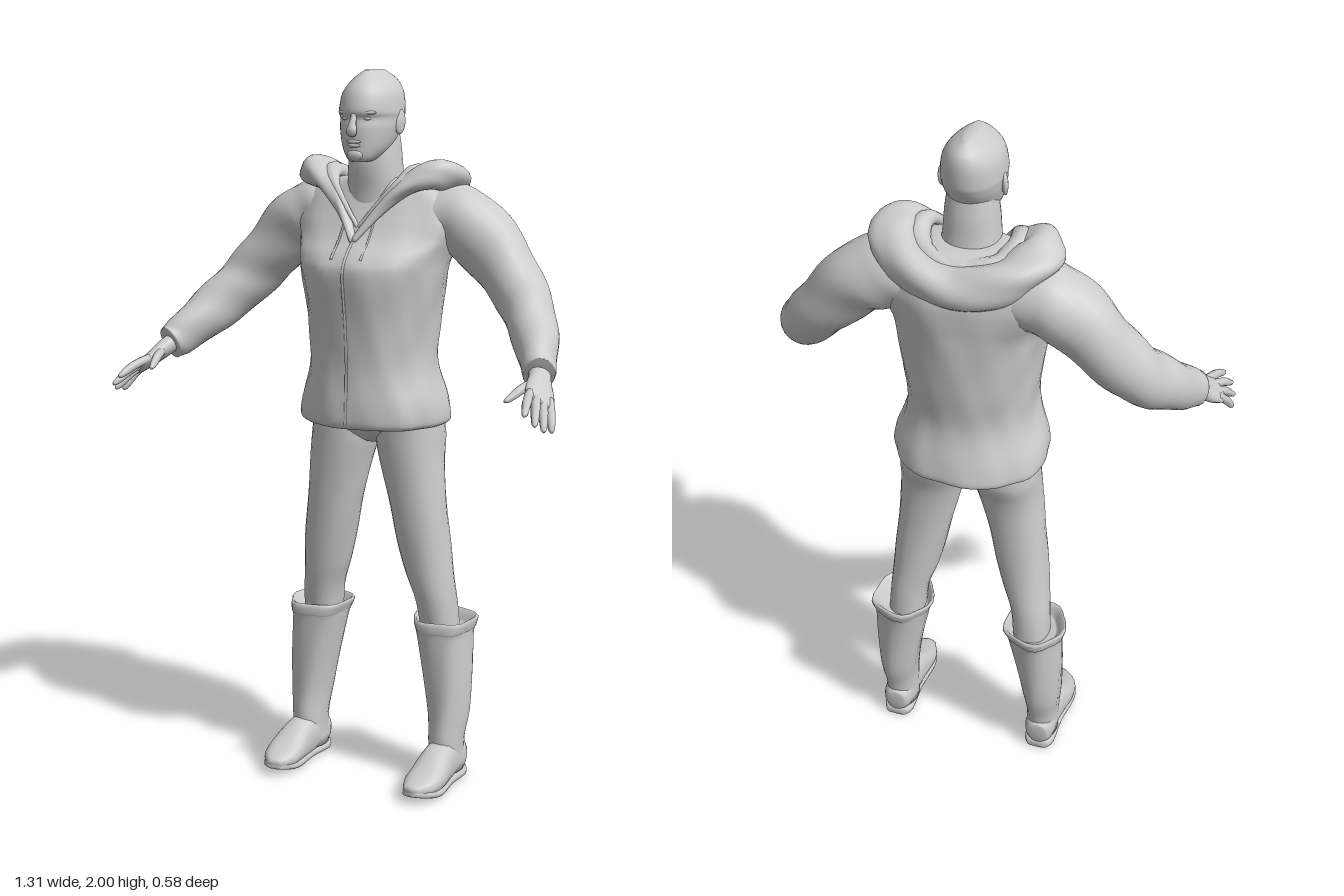
import * as THREE from 'three';

// Catmull-Rom resampling of rows of numbers, k steps per span
function smooth(rows, k) {
  const out = [], at = i => rows[Math.max(0, Math.min(rows.length - 1, i))];
  for (let i = 0; i < rows.length - 1; i++) {
    for (let j = 0; j < k; j++) {
      const t = j / k, [a, b, c, d] = [at(i - 1), at(i), at(i + 1), at(i + 2)];
      out.push(b.map((_, m) => 0.5 * (2 * b[m] + (c[m] - a[m]) * t
        + (2 * a[m] - 5 * b[m] + 4 * c[m] - d[m]) * t * t
        + (3 * b[m] - a[m] - 3 * c[m] + d[m]) * t * t * t)));
    }
  }
  out.push(rows[rows.length - 1]);
  return out;
}

// Skin a list of equal rings of Vector3, with closed ends
function skin(rings) {
  const n = rings[0].length, pos = [], idx = [];
  const centre = ring => {
    const c = new THREE.Vector3();
    ring.forEach(p => c.addScaledVector(p, 1 / n));
    return ring.map(() => c);
  };
  const all = [centre(rings[0]), ...rings, centre(rings[rings.length - 1])];
  all.forEach(ring => ring.forEach(p => pos.push(p.x, p.y, p.z)));
  for (let r = 0; r < all.length - 1; r++) {
    for (let c = 0; c < n; c++) {
      const a = r * n + c, b = r * n + (c + 1) % n;
      idx.push(a, a + n, b, b, a + n, b + n);
    }
  }
  const g = new THREE.BufferGeometry();
  g.setAttribute('position', new THREE.Float32BufferAttribute(pos, 3));
  g.setIndex(idx);
  g.computeVertexNormals();
  return g;
}

const bend = (v, p) => Math.sign(v) * Math.abs(v) ** (2 / p);

// Horizontal sections, bottom to top: [y, centre x, half width, front z, back z]
function stack(rows, { k = 3, n = 28, p = 2.2, s = 1, fold = () => 0 } = {}) {
  return skin(smooth(rows, k).map(([y, x, w, f, b]) => Array.from({ length: n }, (_, i) => {
    const t = i / n * Math.PI * 2, q = 1 + fold(t, y);
    return new THREE.Vector3(s * x + w * q * bend(Math.cos(t), p), y,
      (f + b) / 2 + (f - b) / 2 * q * bend(Math.sin(t), p));
  })));
}

// Sections along a path: [x, y, z, radius along hint, radius across]
function limb(rows, { hint = [0, 0, 1], k = 3, n = 16, s = 1, p = 2, fold = () => 0 } = {}) {
  const pts = smooth(rows, k).map(r => ({ c: new THREE.Vector3(s * r[0], r[1], r[2]), a: r[3], b: r[4] }));
  const h = new THREE.Vector3(s * hint[0], hint[1], hint[2]);
  return skin(pts.map((o, i) => {
    const t = pts[Math.min(i + 1, pts.length - 1)].c.clone().sub(pts[Math.max(i - 1, 0)].c).normalize();
    const u = h.clone().addScaledVector(t, -h.dot(t)).normalize();
    const v = u.clone().cross(t);
    return Array.from({ length: n }, (_, j) => {
      const w = j / n * Math.PI * 2, q = 1 + fold(w, i);
      return o.c.clone().addScaledVector(u, o.a * q * bend(Math.cos(w), p))
        .addScaledVector(v, o.b * q * bend(Math.sin(w), p));
    });
  }));
}

export function createModel() {
  const model = new THREE.Group();
  const grey = new THREE.MeshStandardMaterial({ color: 0xcccccc });
  grey.name = 'light grey';
  const add = (name, geometry) => {
    const m = new THREE.Mesh(geometry, grey);
    m.name = name;
    model.add(m);
    return m;
  };
  const ball = (name, x, y, z, rx, ry, rz) => {
    const m = add(name, new THREE.SphereGeometry(1, 14, 10));
    m.position.set(x, y, z);
    m.scale.set(rx, ry, rz);
    return m;
  };

  // Head and neck, the eye line slightly sunk below the brow
  add('head', stack([[1.757, 0, 0.026, 0.03, -0.03], [1.768, 0, 0.042, 0.04, -0.07],
    [1.80, 0, 0.064, 0.042, -0.125], [1.845, 0, 0.077, 0.042, -0.16], [1.872, 0, 0.08, 0.037, -0.175],
    [1.892, 0, 0.082, 0.046, -0.181], [1.94, 0, 0.074, 0.034, -0.183], [1.975, 0, 0.049, 0.005, -0.172],
    [1.999, 0, 0.014, -0.03, -0.135]], { p: 2.05, k: 4, n: 32 }));
  add('neck', stack([[1.55, 0, 0.08, -0.01, -0.18], [1.66, 0, 0.08, -0.018, -0.175],
    [1.73, 0, 0.074, -0.012, -0.165], [1.79, 0, 0.069, -0.015, -0.16], [1.85, 0, 0.06, -0.03, -0.15]]));
  add('nose', limb([[0, 1.885, 0.038, 0.007, 0.007], [0, 1.86, 0.046, 0.01, 0.01],
    [0, 1.838, 0.053, 0.016, 0.011], [0, 1.83, 0.045, 0.011, 0.007]], { hint: [1, 0, 0], n: 10 }));
  ball('upperLip', 0, 1.811, 0.04, 0.022, 0.005, 0.006);
  ball('lowerLip', 0, 1.801, 0.039, 0.019, 0.006, 0.006);
  ball('chin', 0, 1.776, 0.034, 0.024, 0.016, 0.012);

  // Torso of the jacket, with soft creases
  add('jacket', stack([[1.035, 0, 0.2, 0.08, -0.27], [1.05, 0, 0.211, 0.09, -0.282],
    [1.10, 0, 0.207, 0.09, -0.272], [1.20, 0, 0.178, 0.083, -0.248], [1.32, 0, 0.184, 0.09, -0.258],
    [1.45, 0, 0.203, 0.106, -0.266], [1.50, 0, 0.215, 0.09, -0.268], [1.55, 0, 0.238, 0.042, -0.27],
    [1.60, 0, 0.256, 0.008, -0.268], [1.66, 0, 0.24, -0.025, -0.252], [1.70, 0, 0.16, -0.04, -0.22],
    [1.715, 0, 0.08, -0.05, -0.18]],
  { k: 5, n: 56, p: 2.15, fold: (t, y) => 0.016 * Math.sin(7 * t + 11 * y) * Math.sin(17 * y)
      + 0.008 * Math.sin(13 * t - 20 * y) }));
  add('zip', limb([[0, 1.05, 0.091, 0.003, 0.004], [0, 1.2, 0.084, 0.003, 0.004],
    [0, 1.32, 0.09, 0.003, 0.004], [0, 1.45, 0.107, 0.003, 0.004], [0, 1.5, 0.091, 0.003, 0.004],
    [0, 1.54, 0.053, 0.003, 0.004]], { n: 6 }));

  // Hood lying round the neck and down the back
  const hoodHalf = [[0.055, 1.625, 0.002, 0.014, 0.018], [0.115, 1.688, -0.032, 0.024, 0.028],
    [0.178, 1.722, -0.082, 0.04, 0.048], [0.188, 1.71, -0.145, 0.044, 0.062],
    [0.12, 1.668, -0.212, 0.054, 0.06]];
  const flip = r => [-r[0], ...r.slice(1)];
  const ringOf = (half, front, back) =>
    [front, ...half, back, ...half.slice().reverse().map(flip), front];
  add('hood', limb(ringOf(hoodHalf, [0, 1.545, 0.045, 0.008, 0.01], [0, 1.638, -0.242, 0.058, 0.046]),
    { hint: [0, 1, 0], k: 7, n: 20, fold: (w, i) => 0.08 * Math.sin(3 * w + i * 0.45) }));
  add('hoodInnerFold', limb(ringOf([[0.09, 1.685, -0.022, 0.014, 0.014], [0.125, 1.725, -0.075, 0.022, 0.026],
    [0.125, 1.71, -0.14, 0.026, 0.03], [0.085, 1.685, -0.185, 0.032, 0.03]],
  [0, 1.58, 0.015, 0.006, 0.006], [0, 1.672, -0.205, 0.034, 0.03]),
  { hint: [0, 1, 0], k: 6, n: 12, fold: (w, i) => 0.08 * Math.sin(2 * w + i * 0.6) }));

  // Seat of the trousers
  add('hips', stack([[0.975, 0, 0.04, -0.06, -0.18], [1.0, 0, 0.11, -0.025, -0.212],
    [1.04, 0, 0.185, 0.0, -0.218], [1.10, 0, 0.17, 0.0, -0.2]]));

  for (const s of [1, -1]) {
    const side = s > 0 ? 'left' : 'right';
    const ear = ball(side + 'Ear', s * 0.08, 1.862, -0.075, 0.009, 0.034, 0.02);
    ear.rotation.set(-0.15, s * -0.3, 0);
    const brow = ball(side + 'Brow', s * 0.032, 1.888, 0.026, 0.026, 0.006, 0.011);
    brow.rotation.y = s * 0.35;
    ball(side + 'Eye', s * 0.031, 1.872, 0.023, 0.012, 0.005, 0.01);
    add(side + 'Drawstring', limb([[0.045, 1.61, 0.0, 0.003, 0.003], [0.045, 1.55, 0.04, 0.003, 0.003],
      [0.045, 1.5, 0.088, 0.004, 0.004]], { s, n: 6 }));

    // Sleeve, bent forward at the elbow
    add(side + 'Sleeve', limb([[0.13, 1.61, -0.14, 0.095, 0.078], [0.2, 1.605, -0.148, 0.104, 0.094],
      [0.28, 1.567, -0.148, 0.095, 0.095], [0.37, 1.475, -0.137, 0.084, 0.083],
      [0.442, 1.39, -0.103, 0.08, 0.073], [0.502, 1.318, -0.03, 0.071, 0.064],
      [0.55, 1.255, 0.055, 0.057, 0.048], [0.567, 1.234, 0.09, 0.05, 0.041]],
    { s, k: 5, n: 24, hint: [0.4, 0, 1], fold: (w, i) => 0.03 * Math.sin(2 * w + i * 0.9) }));

    // Hand with four fingers and a thumb
    const across = [-0.6, 0.42, 0.68];
    add(side + 'Palm', limb([[0.558, 1.245, 0.065, 0.03, 0.025], [0.575, 1.222, 0.105, 0.033, 0.025],
      [0.59, 1.2, 0.14, 0.043, 0.02], [0.607, 1.177, 0.178, 0.043, 0.015], [0.612, 1.171, 0.188, 0.034, 0.01]],
    { s, hint: across }));
    const fingers = [['Index', 0.585, 1.195, 0.2, 0.61, 1.163, 0.285], ['Middle', 0.6, 1.185, 0.187, 0.635, 1.138, 0.277],
      ['Ring', 0.613, 1.175, 0.172, 0.648, 1.12, 0.248], ['Little', 0.625, 1.167, 0.156, 0.652, 1.111, 0.205],
      ['Thumb', 0.57, 1.218, 0.125, 0.535, 1.185, 0.235]];
    for (const [name, x, y, z, X, Y, Z] of fingers) {
      const row = (t, r, up) => [x + (X - x) * t, y + (Y - y) * t + up, z + (Z - z) * t, r, r];
      add(side + name + 'Finger', limb([row(-0.25, 0.012, 0), row(0.4, 0.0125, 0.005),
        row(0.85, 0.009, 0), row(1, 0.004, 0)], { s, n: 8, hint: across }));
    }

    // Trouser leg
    add(side + 'Leg', stack([[0.42, 0.19, 0.052, -0.07, -0.19], [0.52, 0.182, 0.055, -0.05, -0.188],
      [0.60, 0.165, 0.064, -0.035, -0.182], [0.70, 0.148, 0.073, -0.025, -0.177],
      [0.80, 0.132, 0.079, -0.018, -0.177], [0.92, 0.112, 0.088, -0.012, -0.185],
      [1.00, 0.101, 0.096, -0.01, -0.21], [1.08, 0.1, 0.09, -0.01, -0.2]],
    { s, n: 24, fold: (t, y) => 0.015 * Math.sin(4 * t + 24 * y) }));

    // Tall boot: shaft with a flared open rim, then foot and sole
    add(side + 'BootShaft', stack([[0.03, 0.222, 0.046, -0.045, -0.165], [0.12, 0.223, 0.046, -0.04, -0.174],
      [0.20, 0.223, 0.055, -0.048, -0.195], [0.32, 0.214, 0.067, -0.046, -0.205],
      [0.43, 0.202, 0.077, -0.04, -0.218], [0.445, 0.202, 0.081, -0.036, -0.224],
      [0.468, 0.2, 0.088, -0.036, -0.23], [0.474, 0.2, 0.082, -0.045, -0.222],
      [0.44, 0.196, 0.062, -0.06, -0.2]],
    { s, n: 24, fold: (t, y) => (y > 0.44 ? 0.05 : y > 0.1 ? 0.03 : 0) * Math.sin(5 * t + 9 * y) }));
    add(side + 'BootFoot', limb([[0.224, 0.06, -0.176, 0.026, 0.035], [0.224, 0.062, -0.15, 0.043, 0.05],
      [0.224, 0.066, -0.08, 0.045, 0.06], [0.226, 0.062, -0.03, 0.048, 0.057],
      [0.228, 0.048, 0.03, 0.054, 0.038], [0.223, 0.039, 0.08, 0.048, 0.026], [0.214, 0.038, 0.122, 0.02, 0.012]],
    { s, hint: [1, 0, 0], n: 20, p: 2.4 }));
    add(side + 'BootSole', limb([[0.224, 0.014, -0.172, 0.03, 0.012], [0.224, 0.013, -0.14, 0.045, 0.013],
      [0.226, 0.016, -0.05, 0.044, 0.012], [0.228, 0.017, 0.04, 0.055, 0.012],
      [0.223, 0.024, 0.085, 0.046, 0.012], [0.214, 0.033, 0.122, 0.02, 0.01]],
    { s, hint: [1, 0, 0], n: 16, p: 4 }));
  }
  return model;
}
